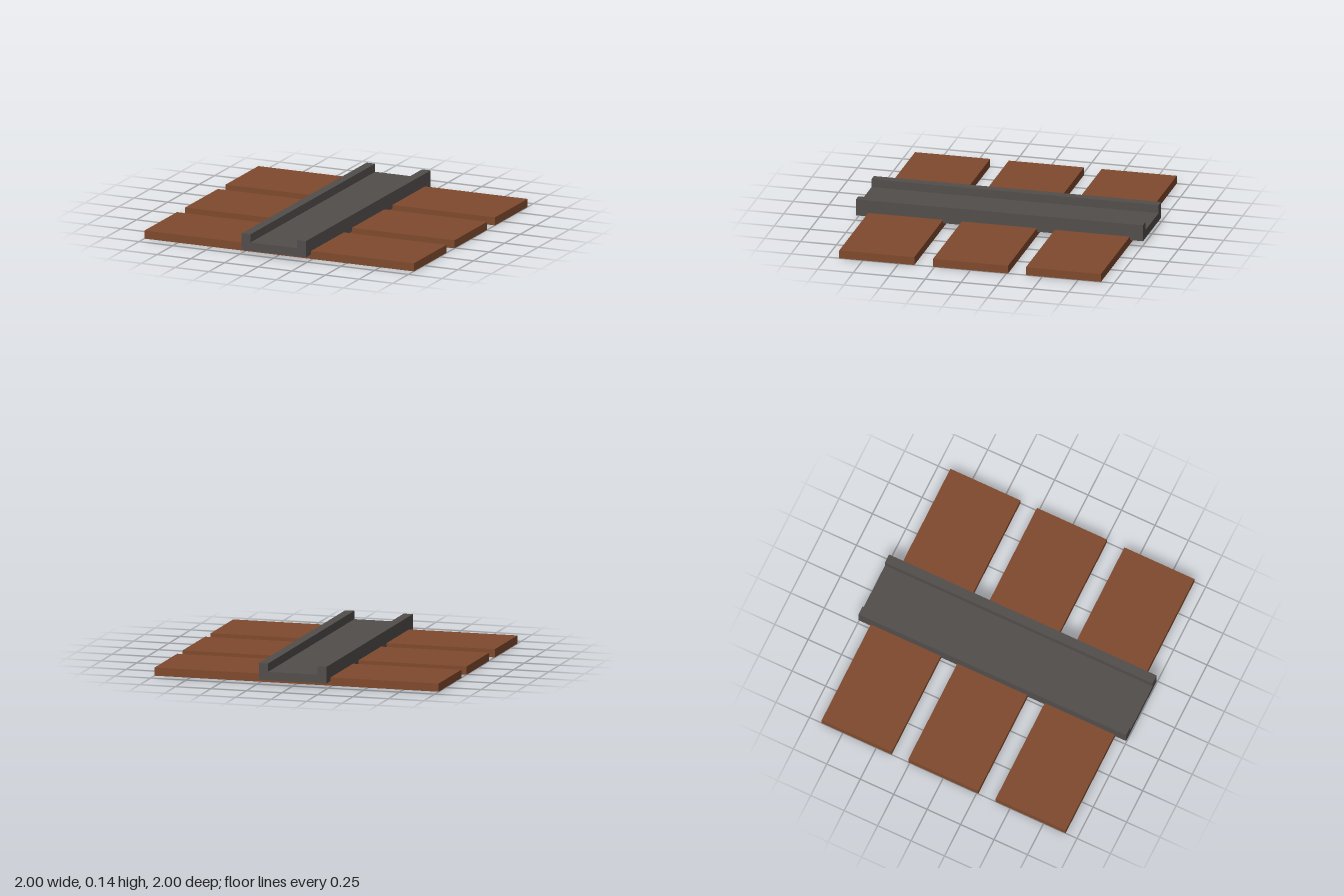
import * as THREE from 'three';

export function createModel() {
  const model = new THREE.Group();
  model.name = 'railTrack';

  const wood = new THREE.MeshStandardMaterial({ color: 0x804a2d });
  wood.name = 'brownWood';
  const metal = new THREE.MeshStandardMaterial({ color: 0x524e4c });
  metal.name = 'darkGreyMetal';

  // Three flat wooden sleepers lying across the track
  const sleeperGeometry = new THREE.BoxGeometry(2, 0.056, 0.523);
  [-0.647, 0, 0.653].forEach((z, i) => {
    const sleeper = new THREE.Mesh(sleeperGeometry, wood);
    sleeper.name = `sleeper${i + 1}`;
    sleeper.position.set(0, 0.028, z);
    model.add(sleeper);
  });

  // U-shaped channel rail, sunk slightly into the sleepers
  const outer = 0.238, inner = 0.174, bottom = 0.031, floor = 0.088, top = 0.145;
  const profile = new THREE.Shape([
    [-outer, bottom], [outer, bottom], [outer, top], [inner, top],
    [inner, floor], [-inner, floor], [-inner, top], [-outer, top],
  ].map(([x, y]) => new THREE.Vector2(x, y)));
  const railGeometry = new THREE.ExtrudeGeometry(profile, { depth: 2, bevelEnabled: false });
  railGeometry.translate(0, 0, -1);
  const rail = new THREE.Mesh(railGeometry, metal);
  rail.name = 'channelRail';
  model.add(rail);

  return model;
}
